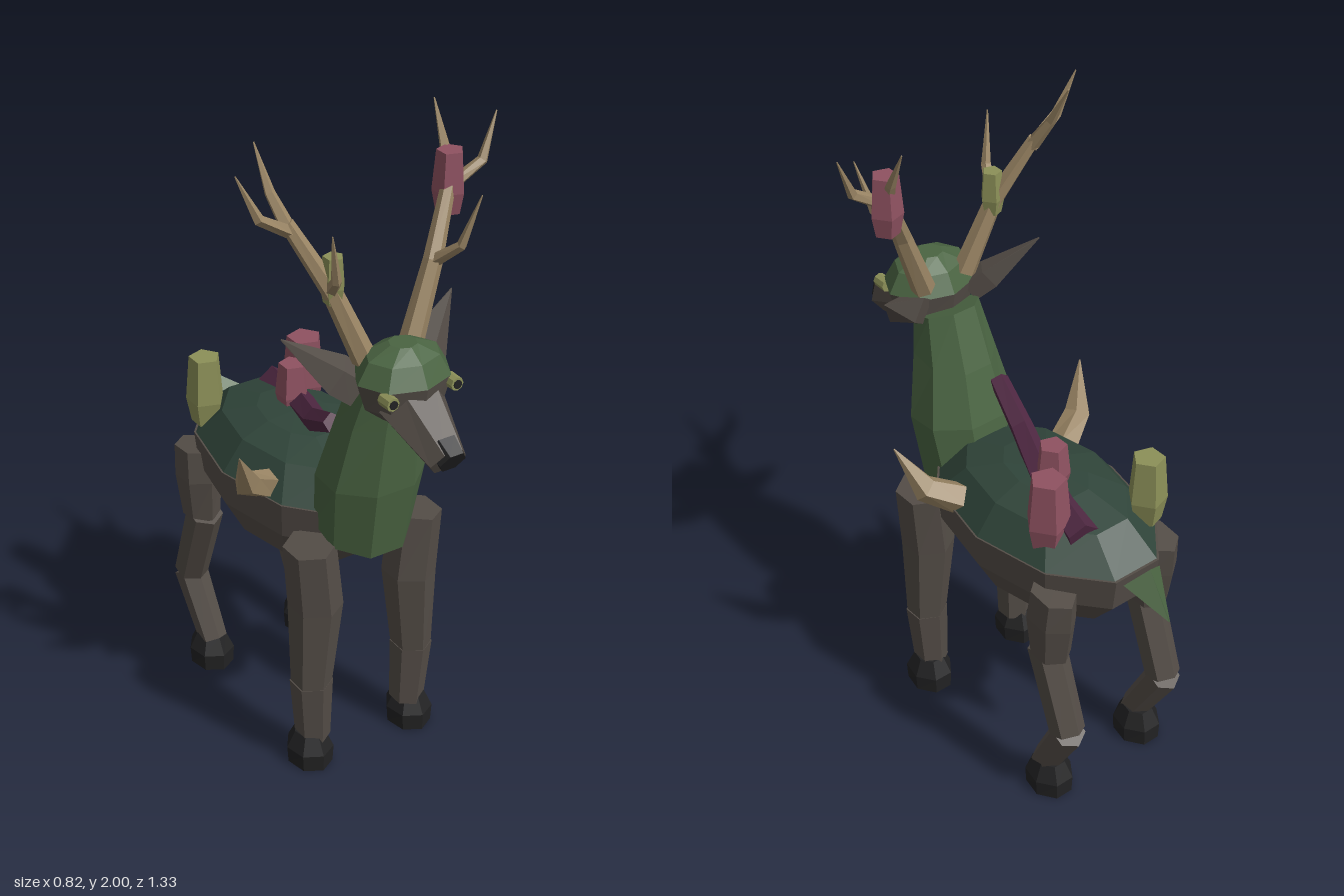
import * as THREE from 'three';

const mat = (name, color) => {
  const m = new THREE.MeshStandardMaterial({ color });
  m.name = name;
  return m;
};
const V = (x, y, z) => new THREE.Vector3(x, y, z);

// Closed, faceted solid skinned over rings of equal point count
function loft(rings) {
  const pos = [];
  const tri = (...ps) => ps.forEach((p) => pos.push(p.x, p.y, p.z));
  const n = rings[0].length;
  const middle = (r) => r.reduce((s, p) => s.add(p), V(0, 0, 0)).divideScalar(n);
  const last = rings[rings.length - 1];
  const c0 = middle(rings[0]), c1 = middle(last);
  for (let i = 0; i < n; i++) {
    const j = (i + 1) % n;
    for (let k = 0; k < rings.length - 1; k++) {
      const a = rings[k], b = rings[k + 1];
      tri(a[i], a[j], b[j]);
      tri(a[i], b[j], b[i]);
    }
    tri(c0, rings[0][j], rings[0][i]);
    tri(c1, last[i], last[j]);
  }
  const g = new THREE.BufferGeometry();
  g.setAttribute('position', new THREE.Float32BufferAttribute(pos, 3));
  g.computeVertexNormals();
  return g;
}

// Ring of n points facing along d; rx is its half-width, rt its half-thickness
function ring(c, d, rx, rt, n, turn = 0) {
  const dir = d.clone().normalize();
  const v = V(1, 0, 0).addScaledVector(dir, -dir.x).normalize();
  const u = v.clone().cross(dir);
  return Array.from({ length: n }, (_, i) => {
    const a = ((i + turn) / n) * Math.PI * 2;
    return c.clone().addScaledVector(u, Math.cos(a) * rt).addScaledVector(v, Math.sin(a) * rx);
  });
}

// Tapered limb along nodes [x, y, z, halfWidth, halfThickness?]
function limb(nodes, n, turn = 0) {
  const c = nodes.map((p) => V(p[0], p[1], p[2]));
  return loft(nodes.map((p, i) => {
    const d = V(0, 0, 0);
    if (i > 0) d.add(c[i].clone().sub(c[i - 1]).normalize());
    if (i < c.length - 1) d.add(c[i + 1].clone().sub(c[i]).normalize());
    return ring(c[i], d, p[3], p[4] ?? p[3], n, turn);
  }));
}

// Stack of level rings [y, rx, rz] around (x, z)
const stack = (x, z, levels, n, turn = 0) =>
  loft(levels.map(([y, rx, rz]) => ring(V(x, y, z), V(0, 1, 0), rx, rz ?? rx, n, turn)));

export function createModel() {
  const model = new THREE.Group();
  const fur = mat('fur brown', 0x544d47);
  const backGreen = mat('dark back green', 0x30453a);
  const moss = mat('moss green', 0x4a6442);
  const belly = mat('belly green', 0x364a34);
  const antler = mat('antler tan', 0x9a8564);
  const hoof = mat('hoof black', 0x222223);
  const pink = mat('dusty pink', 0x8f5261);
  const olive = mat('olive yellow', 0x8c9058);
  const purple = mat('vine purple', 0x4f2842);

  const add = (name, geometry, material) => {
    const m = new THREE.Mesh(geometry, material);
    m.name = name;
    model.add(m);
  };

  // Body: three bands of one ten-sided ellipsoid
  const band = (levels) => stack(0, -0.12, levels.map(([y, k]) => [y, 0.26 * k, 0.425 * k]), 10, 0.5);
  add('belly', band([[0.59, 0.4], [0.635, 0.72]]), belly);
  add('flanks', band([[0.635, 0.72], [0.75, 0.96], [0.86, 1]]), fur);
  add('back', band([[0.86, 0.98], [0.95, 0.72], [0.985, 0.38], [0.992, 0.05]]), backGreen);

  // Neck: rings given by their front and back ends [zf, yf, zb, yb, halfWidth]
  add('neck', loft([
    [0.37, 0.75, 0.1, 0.83, 0.145],
    [0.41, 0.98, 0.13, 1.0, 0.165],
    [0.425, 1.2, 0.18, 1.16, 0.125],
    [0.43, 1.28, 0.245, 1.34, 0.1],
  ].map(([zf, yf, zb, yb, w]) => {
    const d = V(0, zf - zb, yb - yf);
    return ring(V(0, (yf + yb) / 2, (zf + zb) / 2), d, w, Math.hypot(zf - zb, yf - yb) / 2, 8, 0.5);
  })), moss);

  // Head
  add('jaw', stack(0, 0.415, [[1.24, 0.06, 0.07], [1.29, 0.12, 0.105], [1.37, 0.145, 0.12]], 8), fur);
  add('crown', stack(0, 0.415, [[1.37, 0.145, 0.12], [1.43, 0.11, 0.09], [1.462, 0.04, 0.04]], 8), moss);
  add('snout', limb([[0, 1.3, 0.46, 0.105, 0.08], [0, 1.2, 0.635, 0.058, 0.05]], 6, 0.5), fur);
  add('nose', limb([[0, 1.235, 0.605, 0.05, 0.045], [0, 1.208, 0.655, 0.042, 0.04]], 6, 0.5), hoof);

  // Tail
  add('tail', limb([[0, 0.855, -0.54, 0.068, 0.055], [0, 0.765, -0.66, 0.002]], 4), moss);

  for (const s of [1, -1]) {
    const side = s > 0 ? 'left' : 'right';
    const part = (name, nodes, n, material, turn) =>
      add(side + name, limb(nodes.map(([x, ...rest]) => [s * x, ...rest]), n, turn), material);

    // Eyes and ears
    part('Eye', [[0.104, 1.352, 0.48, 0.021], [0.104, 1.352, 0.525, 0.02]], 8, olive);
    part('Pupil', [[0.104, 1.352, 0.523, 0.013], [0.104, 1.352, 0.529, 0.013]], 8, hoof);
    part('Ear', [[0.1, 1.325, 0.355, 0.06, 0.045], [0.15, 1.365, 0.325, 0.062, 0.045], [0.28, 1.475, 0.25, 0.002]], 4, fur);

    // Antlers
    part('AntlerBeam', [[0.075, 1.4, 0.345, 0.036], [0.165, 1.62, 0.315, 0.028], [0.26, 1.81, 0.25, 0.02]], 6, antler);
    part('AntlerBackTine', [[0.255, 1.79, 0.255, 0.022], [0.278, 1.88, 0.2, 0.015], [0.285, 2.0, 0.135, 0.002]], 5, antler);
    part('AntlerOuterTine', [[0.25, 1.785, 0.255, 0.02], [0.355, 1.85, 0.268, 0.016], [0.41, 1.975, 0.25, 0.002]], 5, antler);
    part('AntlerFrontTine', [[0.165, 1.62, 0.32, 0.02], [0.2, 1.685, 0.395, 0.015], [0.235, 1.835, 0.43, 0.002]], 5, antler);

    // Shoulder spike
    part('ShoulderSpike', [[0.19, 0.875, 0.03, 0.05, 0.045], [0.29, 0.935, 0.075, 0.042, 0.035], [0.35, 1.07, 0.138, 0.002]], 5, antler);

    // Front leg
    part('FrontLegUpper', [[0.185, 0.78, 0.24, 0.075, 0.085], [0.165, 0.57, 0.24, 0.08, 0.085], [0.18, 0.295, 0.24, 0.06, 0.065]], 6, fur);
    part('FrontLegLower', [[0.18, 0.3, 0.24, 0.064, 0.066], [0.172, 0.09, 0.235, 0.052, 0.055]], 6, fur);

    // Hind leg
    part('Thigh', [[0.195, 0.8, -0.39, 0.06, 0.08], [0.195, 0.7, -0.38, 0.066, 0.085], [0.19, 0.56, -0.375, 0.056, 0.065]], 6, fur);
    part('HindShin', [[0.19, 0.575, -0.355, 0.056, 0.06], [0.19, 0.3, -0.455, 0.052, 0.056]], 6, fur);
    part('HindCannon', [[0.19, 0.3, -0.46, 0.052, 0.054], [0.18, 0.09, -0.345, 0.045, 0.045]], 6, fur);

    // Hooves
    for (const [label, x, z] of [['FrontHoof', 0.182, 0.232], ['HindHoof', 0.178, -0.362]]) {
      add(side + label, stack(s * x, z, [[0, 0.066, 0.078], [0.055, 0.07, 0.08], [0.11, 0.045, 0.052]], 7), hoof);
    }
  }

  // Vine draped from the neck over the back
  add('vine', limb([
    [-0.06, 1.11, 0.17, 0.03], [-0.025, 1.035, 0.02, 0.036],
    [0.04, 0.985, -0.16, 0.042], [0.085, 0.94, -0.385, 0.05],
  ], 5), purple);

  // Five-sided growths: [name, x, z, bottom, top, radius, material]
  for (const [name, x, z, y0, y1, r, m] of [
    ['largeBackGrowth', 0.14, -0.295, 0.885, 1.12, 0.067, pink],
    ['smallBackGrowth', 0.025, -0.18, 0.96, 1.115, 0.052, pink],
    ['oliveBackGrowth', -0.16, -0.38, 0.88, 1.1, 0.06, olive],
    ['pinkAntlerGrowth', 0.268, 0.24, 1.71, 1.89, 0.049, pink],
    ['oliveAntlerGrowth', -0.157, 0.315, 1.58, 1.715, 0.036, olive],
  ]) {
    const h = y1 - y0;
    add(name, stack(x, z, [[y0, r * 0.75], [y0 + h * 0.35, r], [y1, r * 0.8]], 5, 0.25), m);
  }
  return model;
}
